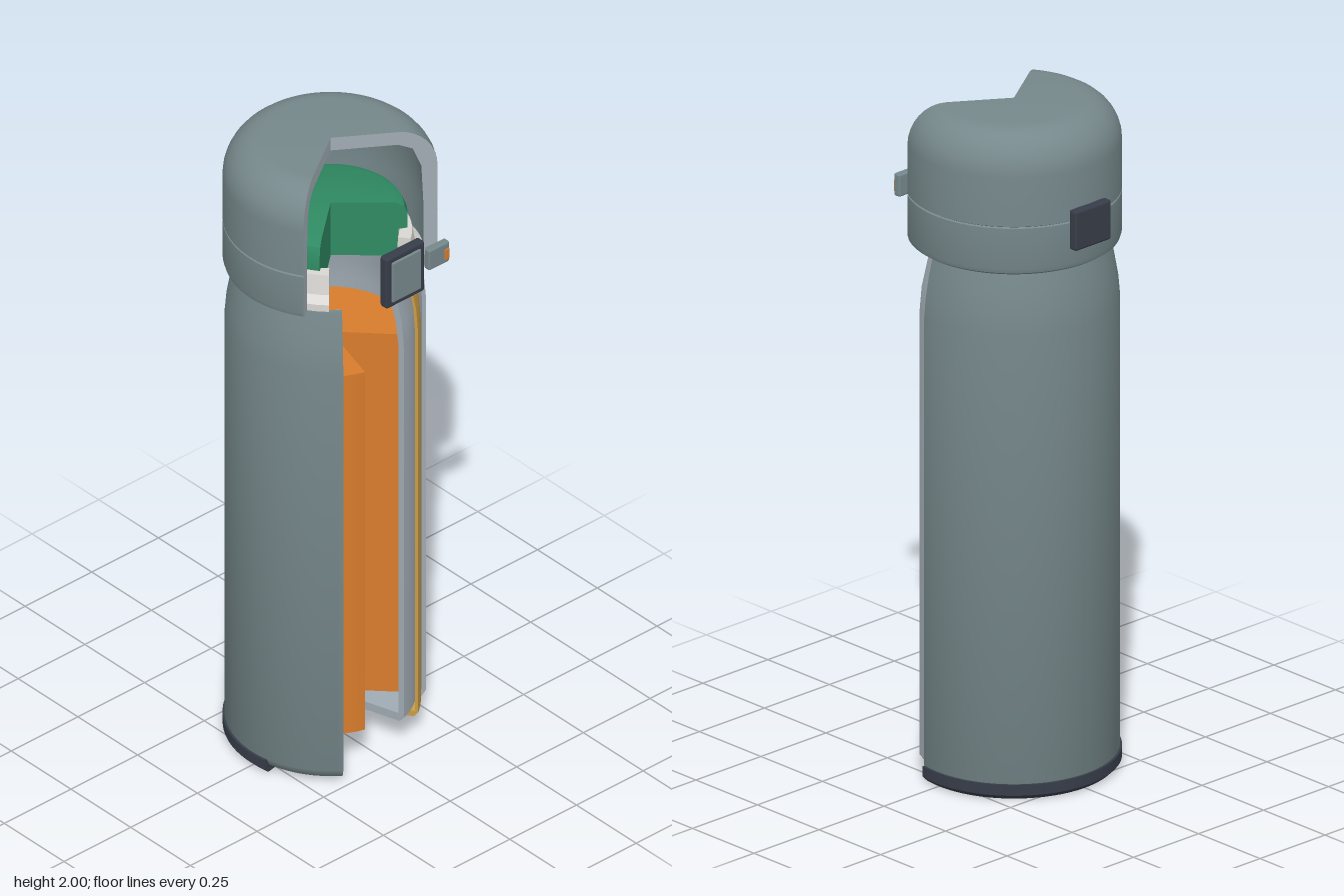
import * as THREE from 'three';
import { mergeGeometries, toCreasedNormals } from 'three/addons/utils/BufferGeometryUtils.js';
import { RoundedBoxGeometry } from 'three/addons/geometries/RoundedBoxGeometry.js';

const material = (name, color) => {
  const m = new THREE.MeshStandardMaterial({ color });
  m.name = name;
  return m;
};
const teal = material('tealPaint', 0x76888b);
const dark = material('darkRubber', 0x373d49);
const steel = material('steel', 0xa0abb3);
const gold = material('goldFoil', 0xc99c45);
const orange = material('orangeLiquid', 0xd87c2c);
const green = material('greenStopper', 0x2f8a62);
const white = material('whitePlastic', 0xd9d7d3);

const RAD = Math.PI / 180;

// Cross-section (counterclockwise, radius and height) swept around the axis,
// leaving a wedge open at the front from -left to +right degrees.
function cutaway(name, mat, left, right, points, cutMat = mat) {
  const pts = points.map(([r, y]) => new THREE.Vector2(r, y));
  const wall = toCreasedNormals(
    new THREE.LatheGeometry([...pts, pts[0]], 72, right * RAD, (360 - left - right) * RAD), 0.6);
  const startCap = new THREE.ShapeGeometry(new THREE.Shape(pts));
  const endCap = startCap.clone();
  const idx = endCap.index.array;
  for (let i = 0; i < idx.length; i += 3) [idx[i], idx[i + 1]] = [idx[i + 1], idx[i]];
  endCap.rotateY((-left - 90) * RAD);
  endCap.computeVertexNormals();
  startCap.rotateY((right - 90) * RAD);
  const caps = mergeGeometries([startCap.toNonIndexed(), endCap.toNonIndexed()]);
  const mesh = new THREE.Mesh(mergeGeometries([wall, caps], true), [mat, cutMat]);
  mesh.name = name;
  return mesh;
}

function box(name, mat, size, pos, radius = 0.008) {
  const mesh = new THREE.Mesh(new RoundedBoxGeometry(...size, 2, radius), mat);
  mesh.position.set(...pos);
  mesh.name = name;
  return mesh;
}

export function createModel() {
  const g = new THREE.Group();
  g.name = 'cutawayFlask';

  // Base: rubber rim and foot ring
  g.add(cutaway('baseRim', dark, 79, 79,
    [[0.24, 0], [0.288, 0], [0.302, 0.014], [0.302, 0.046], [0.29, 0.046], [0.27, 0.014], [0.24, 0.014]]));
  g.add(cutaway('footRing', teal, 79, 79, [[0.13, 0.003], [0.24, 0.003], [0.24, 0.014], [0.13, 0.014]]));

  // Painted outer shell
  g.add(cutaway('outerShell', teal, 35, 79, [
    [0, 0.012], [0.265, 0.012], [0.285, 0.024], [0.297, 0.05], [0.297, 1.4], [0.292, 1.46], [0.28, 1.53], [0.266, 1.59],
    [0.254, 1.59], [0.268, 1.53], [0.279, 1.46], [0.284, 1.4], [0.284, 0.05], [0.265, 0.026], [0, 0.026]], steel));

  // Steel lining inside the shell
  g.add(cutaway('shellLining', steel, 36, 67, [
    [0, 0.028], [0.26, 0.028], [0.281, 0.055], [0.281, 1.4], [0.275, 1.47], [0.25, 1.58],
    [0.238, 1.58], [0.263, 1.47], [0.269, 1.4], [0.269, 0.06], [0.255, 0.04], [0, 0.04]]));

  // Insulating foil
  g.add(cutaway('foilLayer', gold, 40, 34, [
    [0, 0.07], [0.24, 0.07], [0.252, 0.085], [0.252, 1.38], [0.246, 1.46], [0.232, 1.53],
    [0.226, 1.53], [0.238, 1.46], [0.243, 1.38], [0.243, 0.088], [0, 0.088]]));

  // Inner steel bottle with neck
  g.add(cutaway('innerBottle', steel, 45, 17, [
    [0, 0.094], [0.225, 0.094], [0.239, 0.11], [0.239, 1.37], [0.233, 1.45], [0.218, 1.52], [0.212, 1.6],
    [0.19, 1.6], [0.194, 1.52], [0.212, 1.45], [0.222, 1.37], [0.222, 0.12], [0, 0.12]]));

  // Liquid
  g.add(cutaway('liquid', orange, 16, 44, [[0, 0.122], [0.22, 0.122], [0.22, 1.34], [0, 1.34]]));

  // Neck collar and stopper
  g.add(cutaway('neckCollar', white, 43, 36, [
    [0.19, 1.575], [0.262, 1.575], [0.262, 1.612], [0.238, 1.63], [0.228, 1.69], [0.192, 1.69]]));
  g.add(cutaway('stopper', green, 50, 48, [
    [0, 1.6], [0.188, 1.6], [0.19, 1.69], [0.215, 1.695], [0.215, 1.745], [0.205, 1.768], [0.18, 1.78], [0, 1.78]]));

  // Domed lid with a seam groove
  const dome = [];
  for (let i = 0; i <= 8; i++) {
    const a = i / 8 * Math.PI / 2;
    dome.push([0.192 + 0.11 * Math.cos(a), 1.88 + 0.12 * Math.sin(a)]);
  }
  g.add(cutaway('lid', teal, 56.5, 56.5, [
    [0.262, 1.585], [0.288, 1.585], [0.298, 1.592], [0.302, 1.606], [0.302, 1.728], [0.297, 1.731], [0.302, 1.734],
    ...dome, [0, 2], [0, 1.957], [0.19, 1.957], [0.232, 1.94], [0.256, 1.88], [0.262, 1.75]], steel));

  // Hinge block at the back
  g.add(box('hingeBlock', dark, [0.138, 0.12, 0.03], [0, 1.71, -0.31]));

  // Detached lock button at the front
  g.add(box('buttonFrame', dark, [0.144, 0.17, 0.03], [0, 1.695, 0.3]));
  g.add(box('buttonFace', teal, [0.108, 0.134, 0.012], [0, 1.695, 0.315], 0.004));

  // Detached lock clip with an orange marker
  g.add(box('lockClip', teal, [0.078, 0.068, 0.024], [0.133, 1.695, 0.296], 0.006));
  g.add(box('clipMarker', orange, [0.018, 0.036, 0.006], [0.16, 1.69, 0.307], 0.002));
  return g;
}
